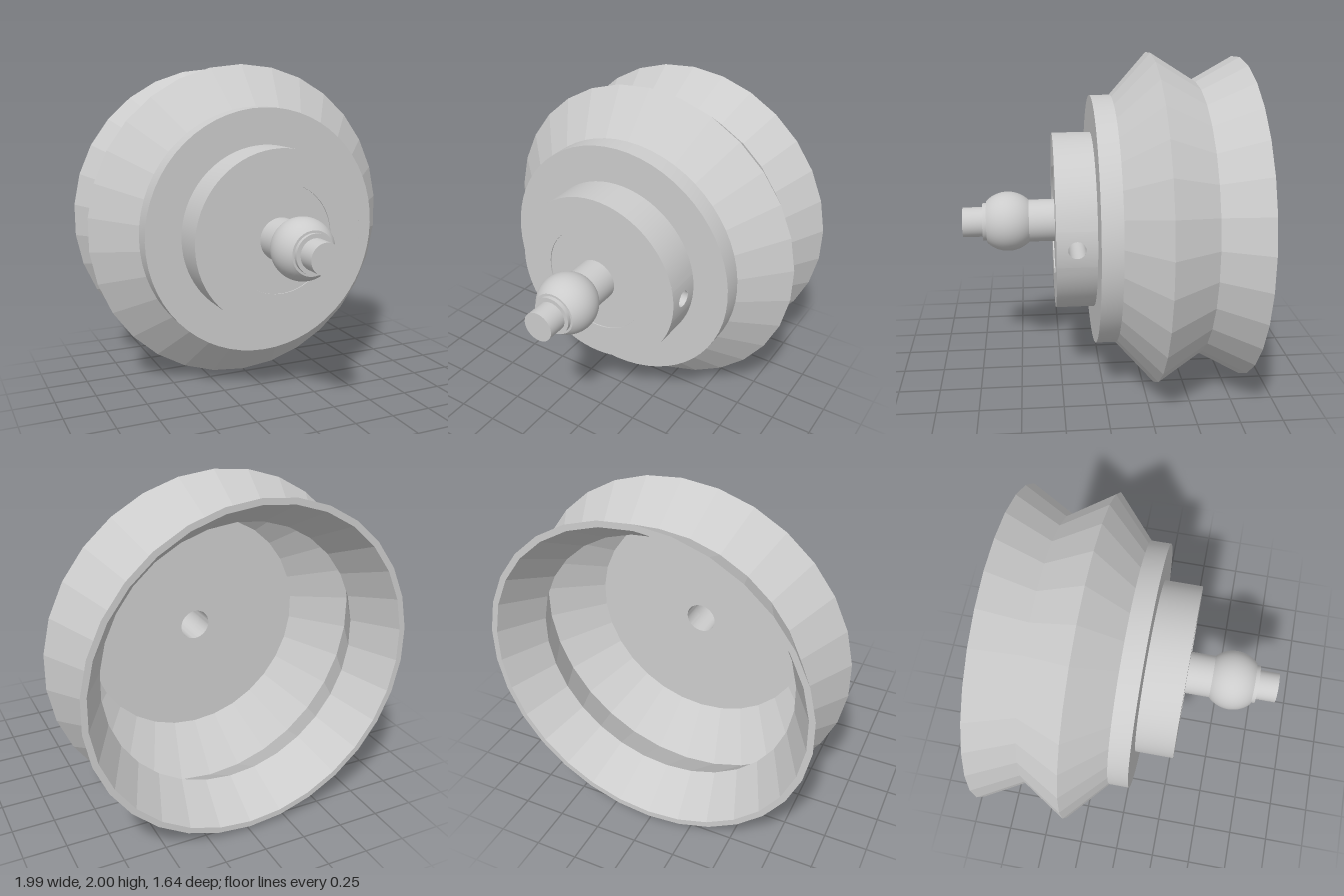
import * as THREE from 'three';
import { toCreasedNormals } from 'three/addons/utils/BufferGeometryUtils.js';
import { ParametricGeometry } from 'three/addons/geometries/ParametricGeometry.js';

const smooth = new THREE.MeshStandardMaterial({ color: 0xcccccc });
const flat = new THREE.MeshStandardMaterial({ color: 0xcccccc, flatShading: true });
const thin = new THREE.MeshStandardMaterial({ color: 0xcccccc, side: THREE.DoubleSide });

// Turn a [radius, z] profile around the z axis; counter-clockwise profiles face outward.
function turned(profile, segments, start = 0, length = Math.PI * 2) {
  const points = profile.map(([r, z]) => new THREE.Vector2(r, z));
  const geometry = new THREE.LatheGeometry(points, segments, start, length);
  geometry.rotateX(Math.PI / 2);
  return toCreasedNormals(geometry, 0.5);
}

export function createModel() {
  const model = new THREE.Group();
  const body = new THREE.Group();
  body.name = 'wheelAssembly';
  body.position.y = 1;
  model.add(body);

  const add = (name, geometry, material = smooth) => {
    const mesh = new THREE.Mesh(geometry, material);
    mesh.name = name;
    body.add(mesh);
    return mesh;
  };

  // Faceted hollow rim: two flared cones meeting at a waist
  add('rimShell', turned([
    [0.935, -0.82], [0.97, -0.82], [0.83, -0.565], [1, -0.295], [0.75, -0.07],
    [0.67, -0.07], [0.94, -0.3], [0.78, -0.565], [0.935, -0.82],
  ], 30), flat);

  // Mounting plate with a central bore
  const boreRadius = 0.09;
  add('mountingPlate', turned([
    [boreRadius, -0.07], [0.75, -0.07], [0.75, 0.05], [boreRadius, 0.05], [boreRadius, -0.07],
  ], 60));

  // Hub ends: blind bore at the back, shallow recess at the front
  const hubRadius = 0.53, hubBack = 0.05, hubFront = 0.28;
  add('hubBack', turned([
    [0, 0.24], [boreRadius, 0.24], [boreRadius, hubBack], [hubRadius, hubBack],
  ], 64));
  add('hubFront', turned([
    [hubRadius, hubFront], [0.33, hubFront], [0.33, 0.273], [0, 0.273],
  ], 64));

  // Hub wall, leaving a window on the +x side for the screw hole
  const windowAngle = 0.2;
  add('hubWall', turned([[hubRadius, hubBack], [hubRadius, hubFront]], 64,
    Math.PI / 2 + windowAngle, Math.PI * 2 - windowAngle * 2));

  // Curved patch that fills the window around the round screw hole
  const holeRadius = 0.05, holeZ = (hubBack + hubFront) / 2;
  const halfWidth = windowAngle * hubRadius, halfHeight = (hubFront - hubBack) / 2;
  add('screwHoleSurround', new ParametricGeometry((u, v, target) => {
    const t = u * Math.PI * 2, c = Math.cos(t), s = Math.sin(t);
    const m = Math.max(Math.abs(c), Math.abs(s));
    const across = THREE.MathUtils.lerp(c * holeRadius, c / m * halfWidth, v);
    const along = THREE.MathUtils.lerp(s * holeRadius, s / m * halfHeight, v);
    const a = across / hubRadius;
    target.set(hubRadius * Math.cos(a), hubRadius * Math.sin(a), holeZ + along);
  }, 32, 4), thin);

  // Radial screw hole
  const holeDepth = 0.438;
  const hole = add('screwHole',
    new THREE.CylinderGeometry(holeRadius, holeRadius, holeDepth, 32, 1, true), thin);
  hole.rotation.z = Math.PI / 2;
  hole.position.set(0.528 - holeDepth / 2, 0, holeZ);

  // Stem, ball, collar and tip turned as one spindle
  const ballRadius = 0.18, ballZ = 0.555, ballEnd = Math.asin(0.128 / ballRadius);
  const ball = [];
  for (let i = 0; i <= 20; i++) {
    const a = Math.PI - ballEnd - (Math.PI - 2 * ballEnd) * i / 20;
    ball.push([ballRadius * Math.sin(a), ballZ + ballRadius * Math.cos(a)]);
  }
  add('ballSpindle', turned([
    [0.128, 0.26], ...ball, [0.115, 0.682], [0.115, 0.705],
    [0.09, 0.705], [0.09, 0.825], [0, 0.825],
  ], 48));

  return model;
}
